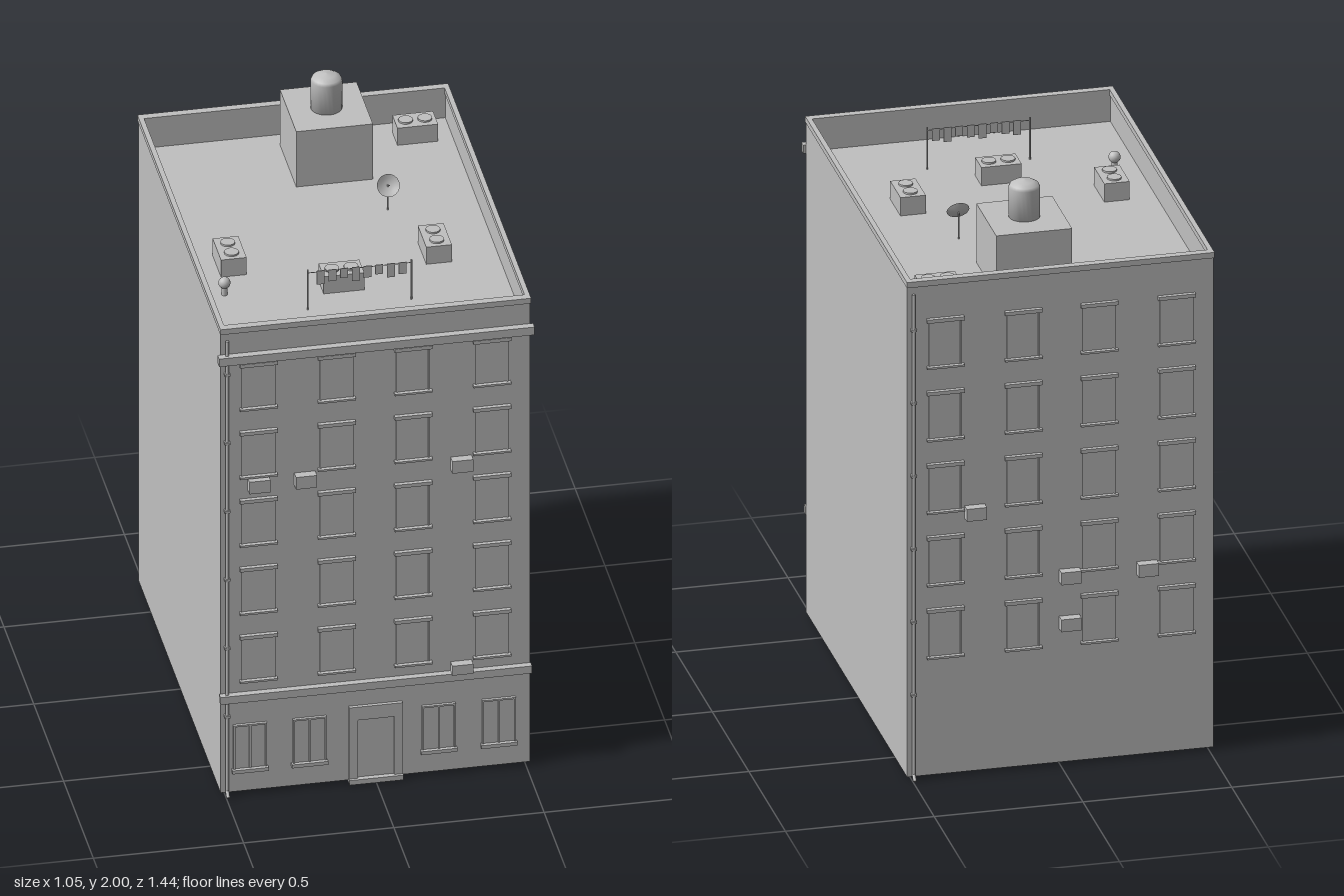
import * as THREE from 'three';

export function createModel() {
  const model = new THREE.Group();
  model.name = 'apartmentBuilding';
  const grey = new THREE.MeshStandardMaterial({ color: 0xc0c0c0 });
  grey.name = 'plainGrey';
  const sheet = new THREE.MeshStandardMaterial({ color: 0xc0c0c0, side: THREE.DoubleSide });
  sheet.name = 'plainGreyThin';

  const add = (name, geo, x = 0, y = 0, z = 0, parent = model, mat = grey) => {
    const m = new THREE.Mesh(geo, mat);
    m.name = name;
    m.position.set(x, y, z);
    parent.add(m);
    return m;
  };
  // Box given by its min and max on each axis
  const box = (name, x0, x1, y0, y1, z0, z1, parent = model) =>
    add(name, new THREE.BoxGeometry(x1 - x0, y1 - y0, z1 - z0),
      (x0 + x1) / 2, (y0 + y1) / 2, (z0 + z1) / 2, parent);
  const rod = (name, r, x, y0, y1, z, parent = model) =>
    add(name, new THREE.CylinderGeometry(r, r, y1 - y0, 10), x, (y0 + y1) / 2, z, parent);
  const group = (name) => {
    const g = new THREE.Group();
    g.name = name;
    model.add(g);
    return g;
  };
  // Rectangular ring lying flat between two heights
  const ring = (name, ox, oz, ix, iz, y0, y1) => {
    const rect = (S, a, b) => {
      const s = new S();
      s.moveTo(-a, -b).lineTo(a, -b).lineTo(a, b).lineTo(-a, b).closePath();
      return s;
    };
    const s = rect(THREE.Shape, ox, oz);
    s.holes.push(rect(THREE.Path, ix, iz));
    const g = new THREE.ExtrudeGeometry(s, { depth: y1 - y0, bevelEnabled: false });
    g.rotateX(-Math.PI / 2);
    return add(name, g, 0, y0, 0);
  };

  // Main block, parapet and coping
  box('body', -0.515, 0.515, 0.01, 1.66, -0.69, 0.69);
  ring('parapet', 0.515, 0.69, 0.503, 0.673, 1.66, 1.755);
  ring('coping', 0.517, 0.697, 0.5, 0.67, 1.755, 1.775);

  // Front cornices
  box('upperCornice', -0.525, 0.525, 1.645, 1.675, 0.69, 0.715);
  box('lowerCornice', -0.52, 0.517, 0.358, 0.386, 0.69, 0.713);

  // Upper windows on the front and the back
  const columns = [-0.39, -0.13, 0.125, 0.387];
  for (const side of [1, -1]) {
    const wall = group(side > 0 ? 'frontWindows' : 'backWindows');
    if (side < 0) wall.rotation.y = Math.PI;
    for (let row = 0; row < 5; row++) {
      const y = 0.43 + row * 0.2585;
      for (const cx of columns) {
        const x = cx * side;
        box('windowPane', x - 0.053, x + 0.053, y, y + 0.16, 0.688, 0.692, wall);
        box('windowLintel', x - 0.0625, x + 0.0625, y + 0.16, y + 0.173, 0.689, 0.704, wall);
        box('windowSill', x - 0.0625, x + 0.0625, y - 0.004, y + 0.003, 0.689, 0.706, wall);
        for (const s of [-1, 1])
          box('windowJamb', x + s * 0.053 - 0.003, x + s * 0.053 + 0.003, y, y + 0.16, 0.689, 0.695, wall);
      }
    }
  }

  // Ground floor windows with frame, mullion and sill
  const shop = group('groundFloorWindows');
  for (const x of [-0.418, -0.22, 0.21, 0.41]) {
    for (const o of [-0.053, 0, 0.053])
      box('windowUpright', x + o - 0.003, x + o + 0.003, 0.1, 0.265, 0.689, 0.7, shop);
    box('windowHead', x - 0.056, x + 0.056, 0.259, 0.265, 0.689, 0.7, shop);
    box('windowSill', x - 0.06, x + 0.06, 0.085, 0.098, 0.689, 0.706, shop);
    box('windowPane', x - 0.053, x + 0.053, 0.098, 0.259, 0.688, 0.693, shop);
  }

  // Entrance: surround, door leaf and low step
  for (const s of [-1, 1])
    box('doorJamb', s * 0.075 - 0.014, s * 0.075 + 0.014, 0.02, 0.265, 0.689, 0.702);
  box('doorHead', -0.089, 0.089, 0.24, 0.29, 0.689, 0.702);
  box('doorLeaf', -0.061, 0.061, 0.02, 0.24, 0.688, 0.694);
  box('doorStep', -0.09, 0.09, 0.002, 0.02, 0.68, 0.712);

  // Window cooling units: x, y, half height
  const coolers = group('windowCoolers');
  for (const [x, y, h] of [[-0.39, 1.175, 0.023], [-0.235, 1.175, 0.023], [0.285, 1.175, 0.023], [0.285, 0.402, 0.018]])
    box('frontCooler', x - 0.035, x + 0.035, y - h, y + h, 0.68, 0.72, coolers);
  for (const [x, y] of [[0.288, 0.935], [-0.03, 0.675], [-0.29, 0.675], [-0.03, 0.508]])
    box('backCooler', x - 0.034, x + 0.034, y - 0.022, y + 0.022, -0.722, -0.68, coolers);

  // Drainpipes with brackets and turned-out feet
  for (const s of [1, -1]) {
    const pipe = group(s > 0 ? 'frontDrainpipe' : 'backDrainpipe');
    if (s < 0) pipe.rotation.y = Math.PI;
    rod('pipe', 0.006, -0.495, 0.02, 1.73, 0.699, pipe);
    for (let i = 0; i < 6; i++) {
      const y = 0.3 + i * 0.26;
      box('pipeBracket', -0.504, -0.486, y, y + 0.008, 0.689, 0.707, pipe);
    }
    const foot = rod('pipeFoot', 0.006, -0.495, 0, 0.026, 0.708, pipe);
    foot.rotation.x = -0.8;
  }

  // Roof house with water tank
  box('roofHouse', -0.06, 0.195, 1.66, 1.87, -0.608, -0.335);
  const tank = [[0, 0], [0.052, 0], [0.052, 0.105], [0.047, 0.115], [0.03, 0.125], [0, 0.13]]
    .map(([x, y]) => new THREE.Vector2(x, y));
  add('waterTank', new THREE.LatheGeometry(tank, 24), 0.067, 1.87, -0.47);

  // Rooftop cooling units with two round fans each
  for (const [x, z, w, d] of [[-0.37, 0.11, 0.085, 0.14], [0.303, 0.16, 0.085, 0.14], [-0.037, 0.307, 0.135, 0.085], [0.383, -0.573, 0.135, 0.085]]) {
    const unit = group('roofCooler');
    box('coolerCase', x - w / 2, x + w / 2, 1.66, 1.725, z - d / 2, z + d / 2, unit);
    for (const s of [-1, 1]) {
      const fan = new THREE.CylinderGeometry(0.024, 0.024, 0.006, 14);
      add('coolerFan', fan, x + (w > d ? s * 0.032 : 0), 1.728, z + (d > w ? s * 0.032 : 0), unit);
    }
  }

  // Clothesline
  const line = group('clothesline');
  for (const x of [-0.175, 0.17]) rod('linePole', 0.003, x, 1.66, 1.81, 0.437, line);
  box('line', -0.175, 0.17, 1.798, 1.8, 0.436, 0.438, line);
  for (let i = 0; i < 8; i++) {
    const x = -0.132 + i * 0.039;
    box('cloth', x - 0.013, x + 0.013, 1.752 + (i % 3) * 0.008, 1.803, 0.4355, 0.4385, line);
  }

  // Satellite dish on a short mast
  rod('dishMast', 0.003, 0.205, 1.66, 1.755, -0.135);
  const bowl = [0, 0.012, 0.024, 0.038].map((r) => new THREE.Vector2(r, r * r * 8));
  const dish = add('dish', new THREE.LatheGeometry(bowl, 20), 0.205, 1.752, -0.135, model, sheet);
  dish.rotation.x = Math.PI / 3;
  const arm = new THREE.CylinderGeometry(0.002, 0.002, 0.035, 6).translate(0, 0.0175, 0);
  add('dishArm', arm, 0, 0, 0, dish);

  // Roof vent
  rod('ventPipe', 0.01, -0.423, 1.66, 1.7, 0.29);
  add('ventCap', new THREE.SphereGeometry(0.02, 16, 10), -0.423, 1.705, 0.29);

  return model;
}
